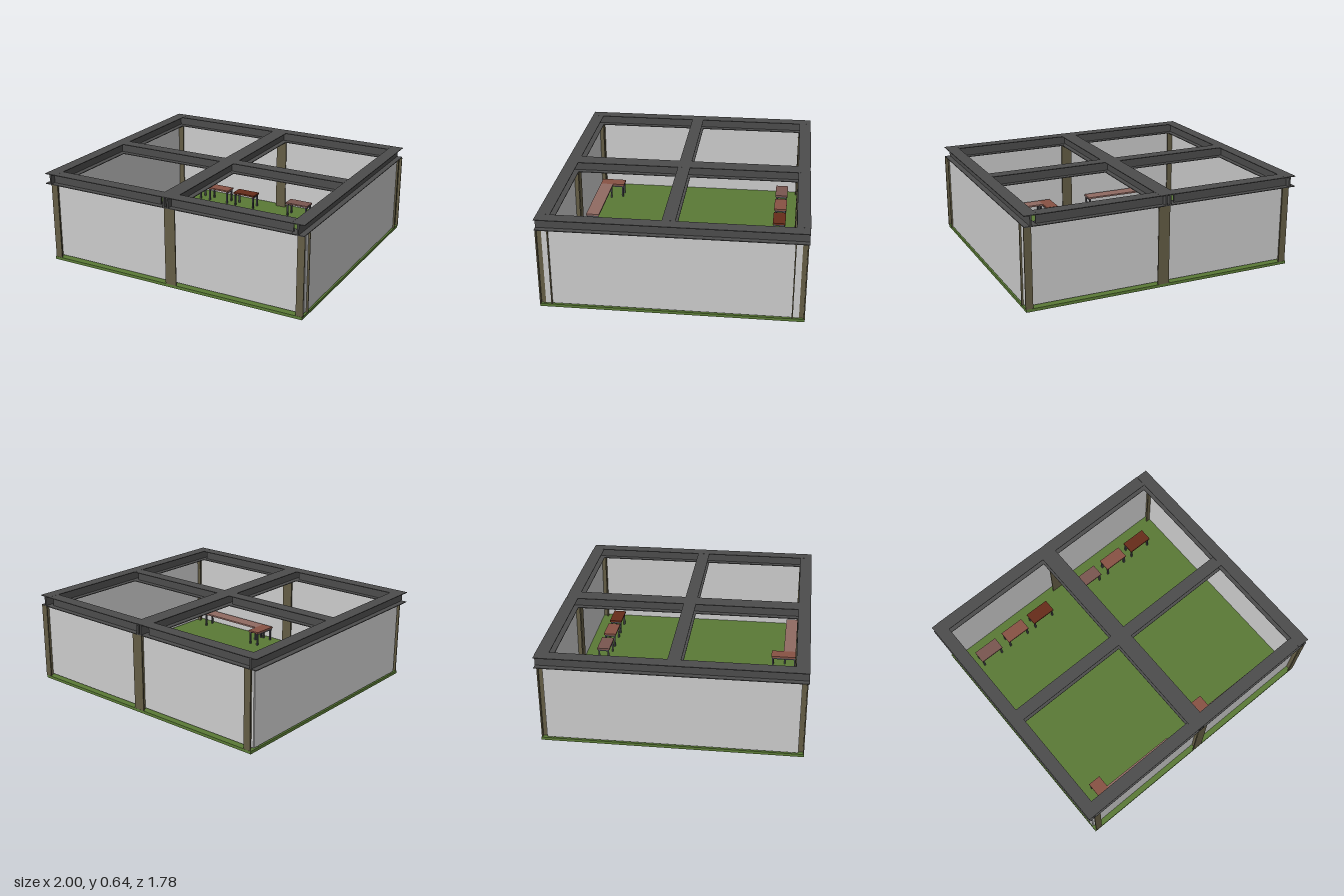
import * as THREE from 'three';

const material = (color) => new THREE.MeshStandardMaterial({ color, flatShading: true });
const steel = material(0x4c4c4c);
const columnPaint = material(0x645d45);
const grass = material(0x5a7a36);
const wallGrey = material(0xcccccc);
const legGrey = material(0x4a4a50);

function box(parent, name, mat, x0, x1, y0, y1, z0, z1) {
  const mesh = new THREE.Mesh(new THREE.BoxGeometry(x1 - x0, y1 - y0, z1 - z0), mat);
  mesh.position.set((x0 + x1) / 2, (y0 + y1) / 2, (z0 + z1) / 2);
  mesh.name = name;
  parent.add(mesh);
  return mesh;
}

// I-section extruded along z, centred on the origin
function iSection(width, height, flange, web, length) {
  const w = width / 2, h = height / 2, f = h - flange, t = web / 2;
  const shape = new THREE.Shape([
    [-w, -h], [w, -h], [w, -f], [t, -f], [t, f], [w, f],
    [w, h], [-w, h], [-w, f], [-t, f], [-t, -f], [-w, -f],
  ].map(([x, y]) => new THREE.Vector2(x, y)));
  return new THREE.ExtrudeGeometry(shape, { depth: length, bevelEnabled: false })
    .translate(0, 0, -length / 2);
}

function table(parent, name, color, x0, x1, z0, z1) {
  const group = new THREE.Group();
  group.name = name;
  const top = 0.132, under = 0.12, r = 0.006, inset = 0.012;
  box(group, 'tableTop', material(color), x0, x1, under, top, z0, z1);
  for (const x of [x0 + inset, x1 - inset]) {
    for (const z of [z0 + inset, z1 - inset]) {
      box(group, 'tableLeg', legGrey, x - r, x + r, 0.02, under, z - r, z + r);
    }
    box(group, 'tableSideRail', legGrey, x - r, x + r, under - 0.014, under, z0 + inset, z1 - inset);
  }
  parent.add(group);
}

export function createModel() {
  const model = new THREE.Group();
  model.name = 'twoRoomPavilion';

  // The shell sits very slightly turned relative to the furniture
  const shell = new THREE.Group();
  shell.name = 'shell';
  shell.rotation.y = 0.01;
  model.add(shell);

  box(shell, 'floor', grass, -0.951, 0.988, 0, 0.02, -0.875, 0.875);

  // Thin walls around the outside
  for (const [z, name] of [[0.832, 'frontWall'], [-0.832, 'backWall']]) {
    box(shell, name, wallGrey, -0.94, 0.975, 0.026, 0.563, z - 0.005, z + 0.005);
  }
  for (const [x, name] of [[-0.94, 'rightWall'], [0.975, 'leftWall']]) {
    box(shell, name, wallGrey, x - 0.005, x + 0.005, 0.026, 0.563, -0.832, 0.832);
  }

  // Steel columns, paired where the two rooms meet
  const columnShape = iSection(0.05, 0.085, 0.008, 0.012, 0.545).rotateX(-Math.PI / 2);
  for (const x of [-0.918, 0.006, 0.037, 0.967]) {
    for (const z of [-0.832, 0.832]) {
      const column = new THREE.Mesh(columnShape, columnPaint);
      column.name = 'column';
      column.position.set(x, 0.2925, z);
      shell.add(column);
    }
  }

  // Long roof beams running front to back
  const longBeam = iSection(0.088, 0.077, 0.005, 0.012, 1.76);
  for (const x of [-0.945, -0.017, 0.011, 0.945]) {
    const beam = new THREE.Mesh(longBeam, steel);
    beam.name = 'longBeam';
    beam.position.set(x, 0.6035, 0);
    shell.add(beam);
  }

  // Cross beams at the front, middle and back of each room
  const crossBeam = iSection(0.088, 0.0768, 0.005, 0.012, 0.88).rotateY(Math.PI / 2);
  for (const x of [-0.5, 0.46]) {
    for (const z of [-0.838, 0.02, 0.836]) {
      const beam = new THREE.Mesh(crossBeam, steel);
      beam.name = 'crossBeam';
      beam.position.set(x, 0.6035, z);
      shell.add(beam);
    }
  }

  // Matching furniture in both rooms
  for (const dx of [0, 0.96]) {
    const room = new THREE.Group();
    room.name = 'roomFurniture';
    room.position.x = dx;
    [[-0.82, 0x7a5650], [-0.572, 0x875244], [-0.332, 0x662c1a]].forEach(([x, color]) =>
      table(room, 'table', color, x, x + 0.186, -0.72, -0.625));
    table(room, 'deskReturn', 0x875244, -0.78, -0.686, 0.61, 0.8);
    table(room, 'longDesk', 0x906a62, -0.686, -0.125, 0.7, 0.8);
    model.add(room);
  }
  return model;
}
